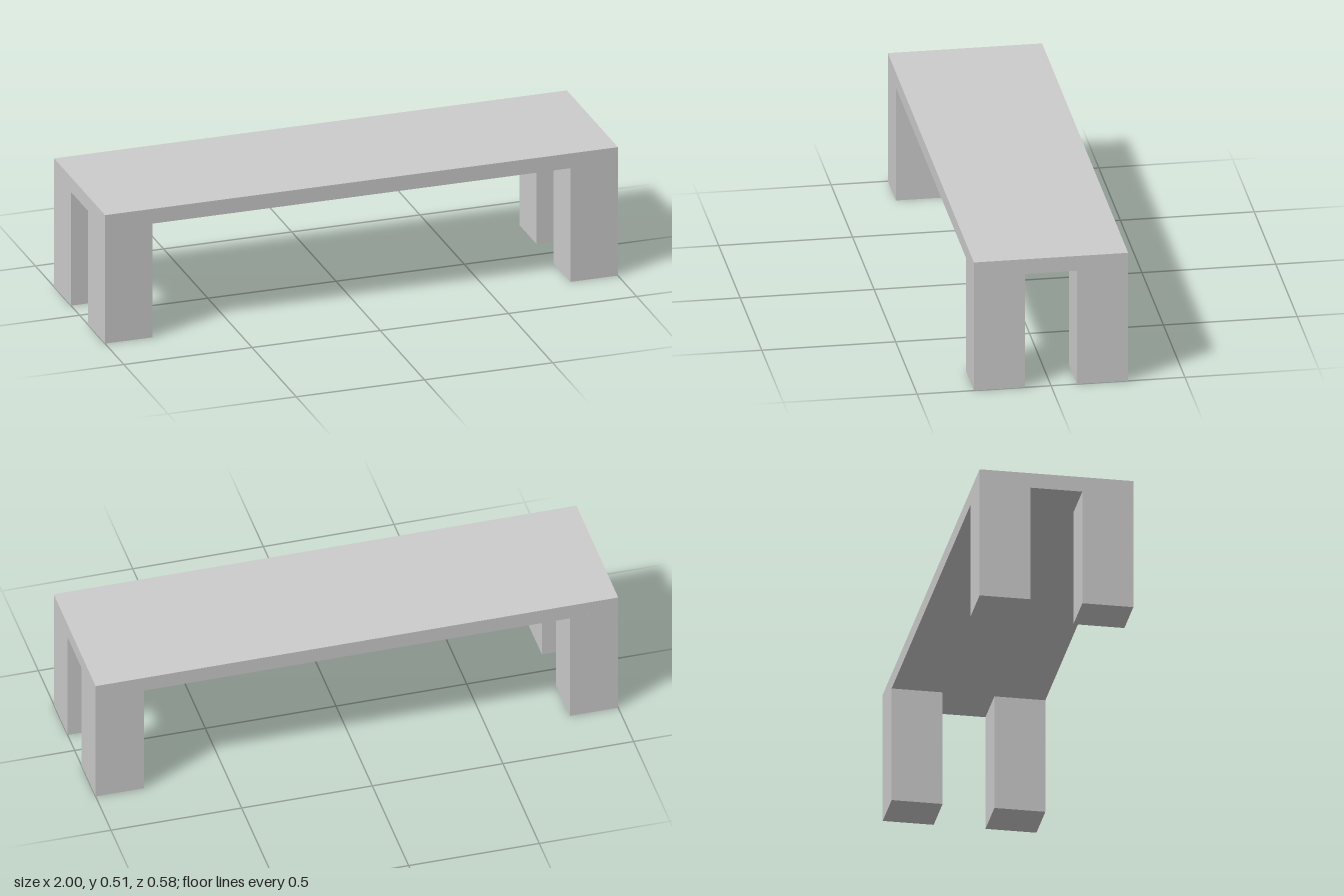
import * as THREE from 'three';

const LENGTH = 2, DEPTH = 0.576, HEIGHT = 0.513;
const SLAB = 0.059;                 // thickness of the top
const LEG_X = 0.185, LEG_Z = 0.191; // leg section

export function createModel() {
  const group = new THREE.Group();
  group.name = 'bench';
  const material = new THREE.MeshStandardMaterial({ color: 0xcccccc, flatShading: true });

  function addBox(name, w, h, d, x, y, z) {
    const mesh = new THREE.Mesh(new THREE.BoxGeometry(w, h, d), material);
    mesh.name = name;
    mesh.position.set(x, y, z);
    group.add(mesh);
  }

  // Flat top
  addBox('benchTop', LENGTH, SLAB, DEPTH, 0, HEIGHT - SLAB / 2, 0);

  // Four square legs, flush with the corners of the top
  const legHeight = HEIGHT - SLAB;
  for (const [side, sx] of [['Left', 1], ['Right', -1]]) {
    for (const [end, sz] of [['front', 1], ['back', -1]]) {
      addBox(`${end}${side}Leg`, LEG_X, legHeight, LEG_Z,
        sx * (LENGTH - LEG_X) / 2, legHeight / 2, sz * (DEPTH - LEG_Z) / 2);
    }
  }
  return group;
}
